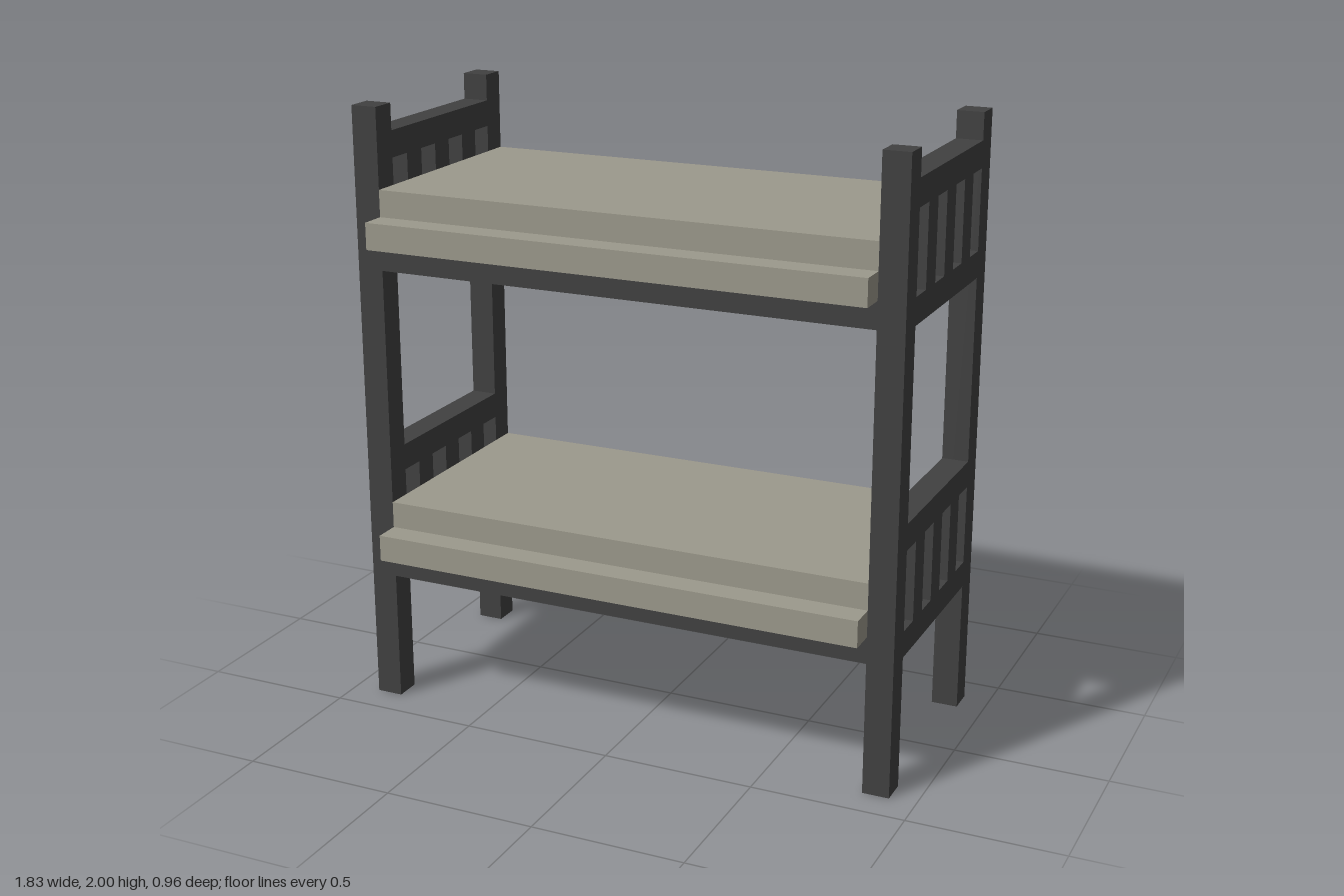
import * as THREE from 'three';

const U = 2 / 23; // one timber thickness

export function createModel() {
  const bed = new THREE.Group();
  bed.name = 'bunkBed';

  const wood = new THREE.MeshStandardMaterial({ color: 0x414141 });
  wood.name = 'darkWood';
  const cloth = new THREE.MeshStandardMaterial({ color: 0x9c998c });
  cloth.name = 'mattressCloth';

  // Box sized in timber units; x and z are its centre, y its underside
  function block(parent, name, material, w, h, d, x, y, z) {
    const mesh = new THREE.Mesh(new THREE.BoxGeometry(w * U, h * U, d * U), material);
    mesh.position.set(x * U, (y + h / 2) * U, z * U);
    mesh.name = name;
    parent.add(mesh);
  }

  // Corner posts
  for (const x of [-10, 10])
    for (const z of [-4, 4]) block(bed, 'post', wood, 1, 23, 1, x, 0, z);

  function bunk(name, y) {
    const group = new THREE.Group();
    group.name = name;

    // Slatted head and foot panels
    for (const x of [-10, 10]) {
      block(group, 'endLowerRail', wood, 1, 1, 7, x, y, 0);
      block(group, 'endUpperRail', wood, 1, 1, 7, x, y + 4, 0);
      for (const z of [-2, 0, 2]) block(group, 'endSlat', wood, 1, 3, 1, x, y + 1, z);
    }

    // Lattice base: lengthwise rails with short cross bars between them
    for (const z of [-4, 0, 4]) block(group, 'longRail', wood, 19, 1, 1, 0, y, z);
    for (const x of [-5, 0, 5])
      for (const z of [-2, 2]) block(group, 'crossBar', wood, 1, 1, 3, x, y, z);

    // Mattress with overhanging lower edge
    block(group, 'mattressBase', cloth, 19, 1, 11, 0, y + 1, 0);
    block(group, 'mattressTop', cloth, 19, 1, 9, 0, y + 2, 0);
    bed.add(group);
  }

  bunk('lowerBunk', 5);
  bunk('upperBunk', 17);
  return bed;
}
